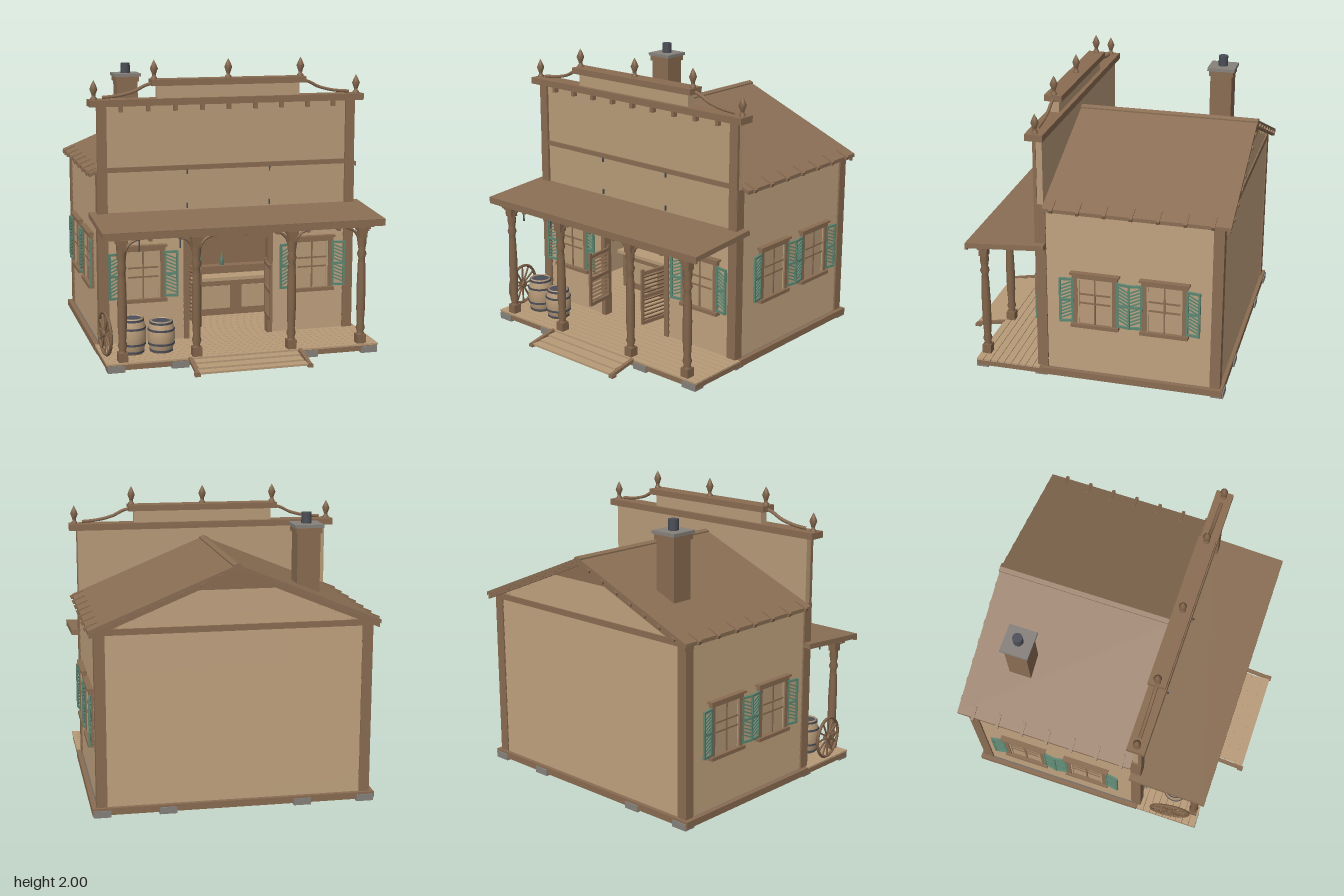
import * as THREE from 'three';

const mat = (name, color, side = THREE.FrontSide) => Object.assign(new THREE.MeshStandardMaterial({ color, side }), { name });
const TAN = mat('tan boards', 0xb89b79), WOOD = mat('brown wood', 0x8a6c52), POST = mat('post wood', 0x82654b);
const ROOF = mat('roof boards', 0x8a6e54), TEAL = mat('teal paint', 0x5d8772), STONE = mat('grey stone', 0x86817b);
const IRON = mat('dark iron', 0x4c4e58), GLASS = mat('blue glass', 0x56637a), BASE = mat('foundation', 0x6f6966);

function add(parent, name, geo, m, x = 0, y = 0, z = 0) {
  const mesh = new THREE.Mesh(geo, m);
  mesh.name = name;
  mesh.position.set(x, y, z);
  parent.add(mesh);
  return mesh;
}
const box = (p, name, m, w, h, d, x, y, z) => add(p, name, new THREE.BoxGeometry(w, h, d), m, x, y, z);
// box given by its limits
const span = (p, name, m, x0, x1, y0, y1, z0, z1) =>
  box(p, name, m, x1 - x0, y1 - y0, z1 - z0, (x0 + x1) / 2, (y0 + y1) / 2, (z0 + z1) / 2);
const lathe = (p, name, m, pts, x, y, z, n = 14) =>
  add(p, name, new THREE.LatheGeometry(pts.map(a => new THREE.Vector2(...a)), n), m, x, y, z);
function group(p, name, x = 0, y = 0, z = 0, ry = 0) {
  const g = new THREE.Group();
  g.name = name;
  g.position.set(x, y, z);
  g.rotation.y = ry;
  p.add(g);
  return g;
}
function prism(p, name, m, pts, z0, z1) {
  const shape = new THREE.Shape(pts.map(a => new THREE.Vector2(...a)));
  return add(p, name, new THREE.ExtrudeGeometry(shape, { depth: z1 - z0, bevelEnabled: false }), m, 0, 0, z0);
}
// overlapping clapboards on a face looking along local +z
function siding(p, y0, y1, widthAt, x = 0) {
  const n = Math.round((y1 - y0) / 0.05), s = (y1 - y0) / n;
  for (let i = 0; i < n; i++) {
    const y = y0 + (i + 0.5) * s;
    box(p, 'clapboard', TAN, widthAt(y + s / 2), s, 0.01, x, y, 0).rotation.x = -0.12;
  }
}
// window with sash bars and a pair of louvred shutters, origin at its centre
function windowUnit(p, name, x, y, z) {
  const g = group(p, name, x, y, z);
  box(g, 'pane', TAN, 0.25, 0.34, 0.008, 0, 0, 0.008);
  for (const s of [-1, 1]) {
    box(g, 'windowJamb', WOOD, 0.028, 0.35, 0.03, s * 0.134, 0, 0.01);
    box(g, 'sashStile', TAN, 0.012, 0.34, 0.012, s * 0.113, 0, 0.014);
    const sh = group(g, 'shutter', s * 0.146, 0, 0.02, -s * 0.16);
    for (const e of [0.008, 0.09]) box(sh, 'shutterStile', TEAL, 0.014, 0.32, 0.014, s * e, 0, 0);
    for (const v of [-0.153, 0, 0.153]) box(sh, 'shutterRail', TEAL, 0.09, 0.016, 0.014, s * 0.049, v, 0);
    for (let i = 0; i < 10; i++) {
      const slat = box(sh, 'shutterSlat', TEAL, 0.085, 0.009, 0.008, s * 0.049, -0.118 + (i + (i > 4 ? 0.7 : 0)) * 0.0245, 0);
      slat.rotation.z = -s * 0.4;
    }
  }
  box(g, 'windowHeader', WOOD, 0.31, 0.028, 0.035, 0, 0.18, 0.012);
  box(g, 'headerCap', WOOD, 0.335, 0.014, 0.05, 0, 0.199, 0.015);
  box(g, 'windowSill', WOOD, 0.325, 0.025, 0.05, 0, -0.18, 0.015);
  box(g, 'middleBar', WOOD, 0.01, 0.34, 0.014, 0, 0, 0.012);
  for (const v of [-0.015, 0.05]) box(g, 'meetingRail', WOOD, 0.25, 0.011, 0.014, 0, v, 0.012);
}
const finial = (p, x, y) => lathe(p, 'finial', POST,
  [[0.022, 0], [0.022, 0.015], [0.012, 0.025], [0.014, 0.04], [0.027, 0.075], [0.015, 0.105], [0, 0.135]], x, y, 0.305, 10);
function barrel(p, x, z, h, r) {
  const g = group(p, 'barrel', x, 0.065, z);
  const rad = t => r * (0.78 + 0.22 * Math.sin(Math.PI * t));
  const pts = [[0, 0]];
  for (let i = 0; i <= 8; i++) pts.push([rad(i / 8), h * i / 8]);
  lathe(g, 'barrelStaves', TAN, [...pts, [r * 0.7, h], [r * 0.7, h - 0.012], [0, h - 0.012]], 0, 0, 0, 18);
  for (const t of [0.06, 0.28, 0.72, 0.94])
    add(g, 'barrelHoop', new THREE.CylinderGeometry(rad(t) + 0.004, rad(t) + 0.004, 0.014, 18), IRON, 0, h * t, 0);
}

export function createModel() {
  const root = new THREE.Group();
  root.name = 'saloon';

  // floor, planks and footings
  span(root, 'foundation', BASE, -0.92, 0.92, 0.012, 0.05, -0.94, 0.3);
  span(root, 'porchFrame', WOOD, -0.94, 0.94, 0.014, 0.05, 0.3, 0.76);
  for (const s of [-1, 1]) span(root, 'sideSill', WOOD, s * 0.93 - 0.015, s * 0.93 + 0.015, 0.014, 0.06, -0.95, 0.3);
  span(root, 'backSill', WOOD, -0.94, 0.94, 0.014, 0.06, -0.95, -0.92);
  for (let i = 0; i < 26; i++) box(root, 'floorPlank', TAN, i < 9 ? 1.89 : 1.76, 0.012, 0.047, 0, 0.057, 0.74 - i * 0.051);
  for (const x of [-0.88, -0.45, 0.45, 0.88]) for (const z of [0.725, 0.3, -0.915])
    box(root, 'footing', STONE, 0.115, z === 0.3 ? 0.02 : 0.045, 0.085, x, z === 0.3 ? 0.012 : 0.0225, z);

  // front steps
  span(root, 'upperTread', TAN, -0.36, 0.36, 0.038, 0.05, 0.76, 0.83);
  span(root, 'middleTread', TAN, -0.36, 0.36, 0.026, 0.038, 0.82, 0.91);
  span(root, 'lowerTread', TAN, -0.37, 0.37, 0.012, 0.026, 0.9, 0.97);
  for (const s of [-1, 1]) {
    box(root, 'stepStringer', WOOD, 0.025, 0.022, 0.22, s * 0.383, 0.036, 0.865).rotation.x = 0.19;
    box(root, 'stepFoot', WOOD, 0.035, 0.02, 0.04, s * 0.385, 0.01, 0.96);
  }

  // walls, clapboards, corner posts and windows
  for (const s of [-1, 1]) {
    span(root, 'sideWall', TAN, s * 0.885 - 0.01, s * 0.885 + 0.01, 0.05, 1.25, -0.91, 0.27);
    const face = group(root, 'sideFace', s * 0.898, 0, -0.3, s * Math.PI / 2);
    siding(face, 0.06, 1.24, () => 1.14);
    for (const z of [-0.08, -0.55]) windowUnit(face, 'sideWindow', -s * (z + 0.3), 0.595, 0.007);
    span(root, 'frontCorner', WOOD, s * 0.88 - 0.035, s * 0.88 + 0.035, 0.05, 1.25, 0.255, 0.328);
    span(root, 'backCorner', WOOD, s * 0.88 - 0.035, s * 0.88 + 0.035, 0.05, 1.24, -0.93, -0.86);
    span(root, 'frontWall', TAN, s * 0.58 - 0.28, s * 0.58 + 0.28, 0.05, 0.9, 0.27, 0.305);
    const front = group(root, 'frontFace', 0, 0, 0.308);
    siding(front, 0.06, 0.9, () => 0.545, s * 0.573);
    windowUnit(front, 'frontWindow', s * 0.608, 0.54, 0.008);
  }
  span(root, 'backWall', TAN, -0.88, 0.88, 0.05, 1.25, -0.91, -0.89);
  const back = group(root, 'backFace', 0, 0, -0.915, Math.PI);
  siding(back, 0.06, 1.2, () => 1.69);
  siding(back, 1.24, 1.58, y => Math.max(0.05, 1.84 * (1.62 - y) / 0.4));
  span(root, 'backFrieze', WOOD, -0.9, 0.9, 1.2, 1.24, -0.932, -0.9);
  prism(root, 'gableWall', TAN, [[-0.9, 1.24], [0.9, 1.24], [0, 1.61]], -0.91, -0.89);
  prism(root, 'gablePeak', WOOD, [[-0.33, 1.475], [0.33, 1.475], [0, 1.61]], -0.95, -0.94);

  // main roof with ridge cap, barge boards and rafter tails
  const chevron = (w, top, t) => {
    const d = 0.41 * w;
    return [[-w, top - d], [-w, top - d - t], [0, top - t], [w, top - d - t], [w, top - d], [0, top]];
  };
  prism(root, 'mainRoof', ROOF, chevron(0.955, 1.635, 0.025), -0.975, 0.265);
  prism(root, 'ridgeCap', ROOF, chevron(0.03, 1.645, 0.02), -0.98, 0.265);
  prism(root, 'bargeBoard', WOOD, chevron(0.945, 1.615, 0.035), -0.97, -0.945);
  for (const s of [-1, 1]) {
    for (let i = 0; i < 7; i++)
      box(root, 'rafterTail', WOOD, 0.1, 0.025, 0.022, s * 0.925, 1.25, 0.2 - i * 0.177).rotation.z = -s * 0.39;
    for (let i = 0; i < 7; i++) {
      const x = 0.1 + i * 0.125;
      box(root, 'purlinEnd', WOOD, 0.03, 0.02, 0.06, s * x, 1.605 - 0.41 * x, -0.953).rotation.z = -s * 0.39;
    }
  }

  // chimney
  span(root, 'chimneyStack', WOOD, -0.607, -0.453, 1.35, 1.8, -0.71, -0.556);
  span(root, 'chimneyCollar', WOOD, -0.617, -0.443, 1.78, 1.818, -0.72, -0.546);
  span(root, 'chimneyCap', STONE, -0.628, -0.432, 1.818, 1.84, -0.73, -0.536);
  add(root, 'chimneyPot', new THREE.CylinderGeometry(0.034, 0.034, 0.075, 14), IRON, -0.53, 1.875, -0.633);

  // false front
  span(root, 'falseFront', TAN, -0.905, 0.905, 0.9, 1.7, 0.268, 0.312);
  for (const s of [-1, 1]) {
    span(root, 'falseFrontTrim', WOOD, s * 0.878 - 0.033, s * 0.878 + 0.033, 0.95, 1.7, 0.308, 0.33);
    for (const y of [1.005, 1.24]) box(root, 'signBracket', IRON, 0.006, 0.035, 0.014, s * 0.293, y, 0.322);
  }
  span(root, 'falseFrontBand', WOOD, -0.845, 0.845, 1.252, 1.285, 0.308, 0.325);
  span(root, 'cornice', WOOD, -0.962, 0.962, 1.7, 1.745, 0.245, 0.365);
  for (let i = -4; i <= 4; i++) box(root, 'corniceBlock', WOOD, 0.025, 0.04, 0.035, i * 0.187, 1.68, 0.33);
  span(root, 'upperParapet', TAN, -0.5, 0.5, 1.745, 1.83, 0.275, 0.335);
  span(root, 'parapetCap', WOOD, -0.54, 0.54, 1.83, 1.872, 0.245, 0.365);
  for (const x of [-0.925, 0.925]) finial(root, x, 1.74);
  for (const x of [-0.515, 0, 0.515]) finial(root, x, 1.868);
  for (const s of [-1, 1]) {
    const curve = new THREE.CatmullRomCurve3([[0.87, 1.758], [0.76, 1.768], [0.65, 1.795], [0.58, 1.83], [0.52, 1.848]]
      .map(([x, y]) => new THREE.Vector3(s * x, y, 0.305)));
    add(root, 'parapetScroll', new THREE.TubeGeometry(curve, 14, 0.012, 6), WOOD);
  }

  // porch roof, beam, rafters, posts and brackets
  const tilt = Math.atan(0.04 / 0.545);
  box(root, 'porchRoof', ROOF, 1.93, 0.036, 0.547, 0, 0.942, 0.528).rotation.x = tilt;
  span(root, 'porchFascia', WOOD, -0.965, 0.965, 0.893, 0.935, 0.785, 0.803);
  span(root, 'porchBeam', WOOD, -0.91, 0.91, 0.875, 0.91, 0.7, 0.74);
  for (let i = -4; i <= 4; i++) box(root, 'porchRafter', WOOD, 0.022, 0.035, 0.47, i * 0.215, 0.902, 0.54).rotation.x = tilt;
  const profile = [[0.03, 0.12], [0.022, 0.14], [0.032, 0.17], [0.024, 0.2], [0.03, 0.3], [0.031, 0.45], [0.026, 0.62],
    [0.022, 0.66], [0.033, 0.69], [0.023, 0.72], [0.03, 0.76], [0.03, 0.84]];
  for (const x of [-0.83, -0.33, 0.33, 0.83]) {
    const g = group(root, 'porchPost', x, 0, 0.72);
    lathe(g, 'turnedPost', POST, profile, 0, 0, 0);
    box(g, 'postBase', POST, 0.062, 0.065, 0.062, 0, 0.093, 0);
    box(g, 'postBlock', POST, 0.058, 0.05, 0.058, 0, 0.83, 0);
    box(g, 'postCap', POST, 0.075, 0.025, 0.07, 0, 0.865, 0);
    for (const s of [-1, 1]) {
      if (Math.abs(x + s * 0.1) > 0.9) continue;
      const arc = add(g, 'postBracket', new THREE.TorusGeometry(0.1, 0.009, 6, 10, Math.PI / 2), POST, s * 0.125, 0.775, 0);
      if (s > 0) arc.rotation.z = Math.PI / 2;
    }
  }
  for (const [x, l] of [[-0.71, 0.1], [-0.435, 0.09]]) box(root, 'hangingChain', IRON, 0.008, l, 0.008, x, 0.89 - l / 2, 0.71);

  // doorway, transom and swing doors
  for (const s of [-1, 1]) {
    span(root, 'doorJamb', WOOD, s * 0.302 - 0.018, s * 0.302 + 0.018, 0.06, 0.9, 0.26, 0.328);
    const door = group(root, 'swingDoor', s * 0.278, 0.4, 0.285, s * 1.45);
    for (const e of [0.012, 0.228]) box(door, 'doorStile', WOOD, 0.022, 0.4, 0.016, -s * e, 0, 0);
    for (const y of [-0.19, 0, 0.17]) box(door, 'doorRail', WOOD, 0.22, 0.025, 0.016, -s * 0.12, y, 0);
    for (let i = 0; i < 12; i++) box(door, 'doorSlat', WOOD, 0.2, 0.014, 0.008, -s * 0.12, -0.165 + i * 0.028, 0).rotation.x = 0.6;
  }
  span(root, 'doorHeader', WOOD, -0.3, 0.3, 0.75, 0.79, 0.265, 0.32);
  span(root, 'doorTopRail', WOOD, -0.3, 0.3, 0.88, 0.905, 0.265, 0.32);
  span(root, 'transomGlass', GLASS, -0.285, 0.285, 0.79, 0.88, 0.288, 0.296);
  for (const x of [-0.26, -0.13, 0, 0.13, 0.26]) span(root, 'transomBar', WOOD, x - 0.006, x + 0.006, 0.79, 0.88, 0.282, 0.306);

  // bar room
  span(root, 'barBackWall', WOOD, -0.87, 0.87, 0.06, 1.2, -0.62, -0.6);
  span(root, 'backShelf', WOOD, -0.6, 0.6, 0.55, 0.57, -0.6, -0.52);
  span(root, 'barCounter', WOOD, -0.6, 0.6, 0.06, 0.34, -0.35, -0.2);
  span(root, 'counterTop', TAN, -0.63, 0.63, 0.33, 0.355, -0.38, -0.17);
  span(root, 'counterBackRail', WOOD, -0.6, 0.6, 0.355, 0.41, -0.38, -0.3);
  for (const x of [-0.4, 0, 0.4]) span(root, 'counterPanel', TAN, x - 0.155, x + 0.155, 0.115, 0.285, -0.2, -0.194);
  [[-0.21, TAN], [-0.04, TEAL], [0.13, TEAL]].forEach(([x, m]) => lathe(root, 'bottle', m,
    [[0, 0], [0.014, 0], [0.014, 0.05], [0.006, 0.064], [0.006, 0.09], [0, 0.09]], x, 0.41, -0.34, 10));

  // barrels and wagon wheel on the porch
  barrel(root, -0.73, 0.55, 0.245, 0.092);
  barrel(root, -0.535, 0.56, 0.215, 0.092);
  const wheel = group(root, 'wagonWheel', -0.917, 0.212, 0.557, Math.PI / 2 + 0.12);
  add(wheel, 'wheelRim', new THREE.TorusGeometry(0.142, 0.011, 6, 32), POST);
  add(wheel, 'wheelHub', new THREE.CylinderGeometry(0.024, 0.024, 0.045, 12), POST).rotation.x = Math.PI / 2;
  for (let i = 0; i < 12; i++) {
    const a = i * Math.PI / 6;
    box(wheel, 'wheelSpoke', POST, 0.125, 0.01, 0.01, 0.08 * Math.cos(a), 0.08 * Math.sin(a), 0).rotation.z = a;
  }
  return root;
}
